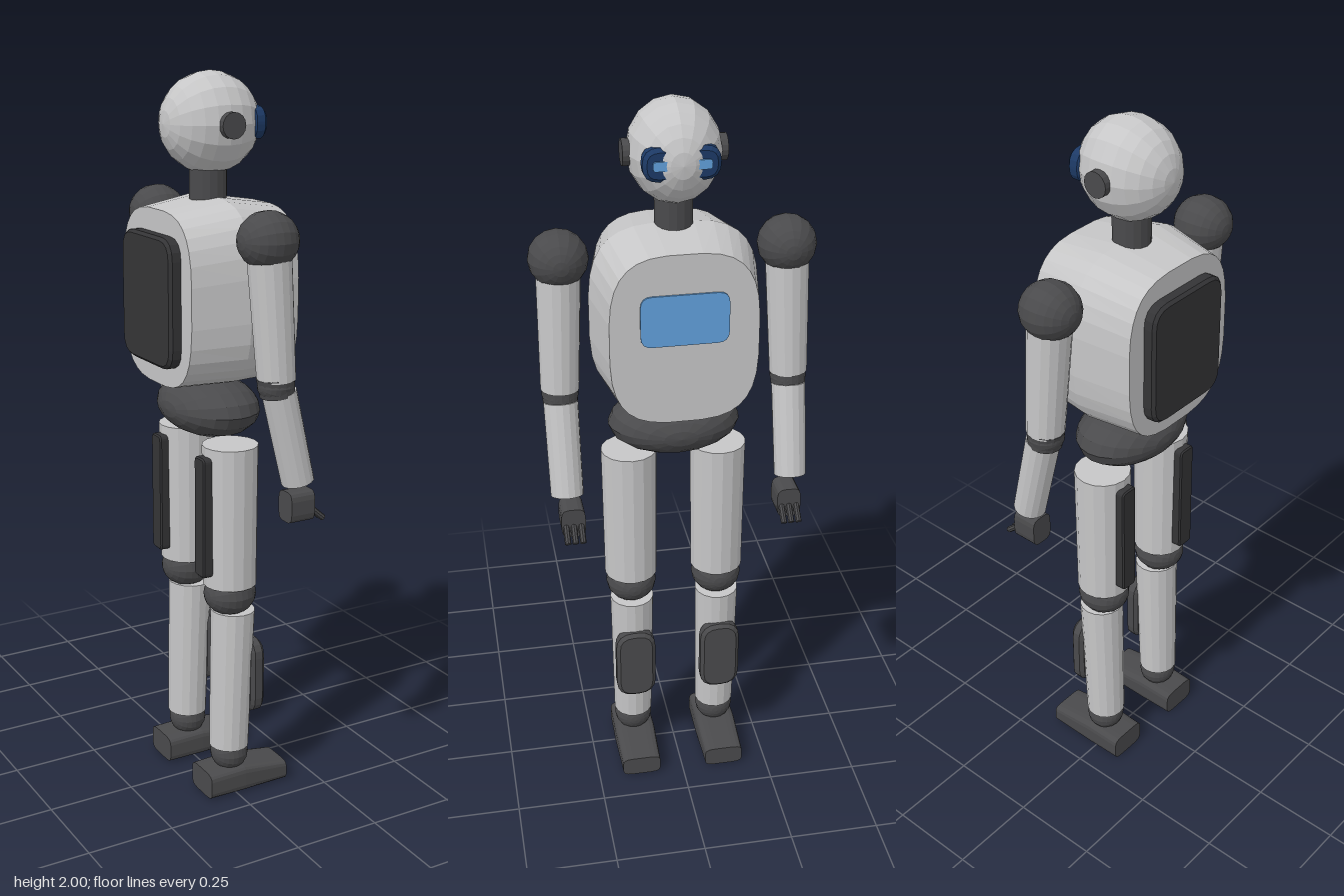
import * as THREE from 'three';

const mat = (name, color) => {
  const m = new THREE.MeshStandardMaterial({ color, flatShading: true });
  m.name = name;
  return m;
};

export function createModel() {
  const shell = mat('light grey shell', 0xc6c6c7);
  const joint = mat('dark grey joint', 0x4a4a4c);
  const pack = mat('charcoal', 0x343436);
  const navy = mat('navy visor', 0x1d3a66);
  const blue = mat('screen blue', 0x62a0dc);

  const model = new THREE.Group();
  model.name = 'robot';
  const add = (parent, name, geometry, material, x = 0, y = 0, z = 0) => {
    const mesh = new THREE.Mesh(geometry, material);
    mesh.name = name;
    mesh.position.set(x, y, z);
    parent.add(mesh);
    return mesh;
  };

  // Ellipsoid whose poles lie on the x axis
  const ball = (rx, ry, rz, w = 16, h = 12) =>
    new THREE.SphereGeometry(1, w, h).rotateZ(-Math.PI / 2).scale(rx, ry, rz);

  // Tapered cylinder between two points
  const rod = (parent, name, material, from, to, r0, r1, sides = 16) => {
    const a = new THREE.Vector3(...from), b = new THREE.Vector3(...to);
    const dir = b.clone().sub(a);
    const mesh = add(parent, name, new THREE.CylinderGeometry(r1, r0, dir.length(), sides), material);
    mesh.position.copy(a).add(b).multiplyScalar(0.5);
    mesh.quaternion.setFromUnitVectors(new THREE.Vector3(0, 1, 0), dir.normalize());
    return mesh;
  };

  // Rounded plate standing in the zy plane, from x0 to x1
  const plate = (x0, x1, halfZ, halfY, radius, bevel = 0) => {
    const w = halfZ - bevel, h = halfY - bevel, r = radius;
    const s = new THREE.Shape();
    s.moveTo(-w + r, -h);
    s.lineTo(w - r, -h);
    s.quadraticCurveTo(w, -h, w, -h + r);
    s.lineTo(w, h - r);
    s.quadraticCurveTo(w, h, w - r, h);
    s.lineTo(-w + r, h);
    s.quadraticCurveTo(-w, h, -w, h - r);
    s.lineTo(-w, -h + r);
    s.quadraticCurveTo(-w, -h, -w + r, -h);
    return new THREE.ExtrudeGeometry(s, {
      depth: x1 - x0 - 2 * bevel, curveSegments: 4, bevelEnabled: bevel > 0,
      bevelThickness: bevel, bevelSize: bevel, bevelSegments: 1,
    }).translate(0, 0, x0 + bevel).rotateY(Math.PI / 2);
  };

  // Loft of superellipse sections [x, bottomY, topY, halfZ] along x, with end caps
  const loft = (sections, power, n) => {
    const pos = [], idx = [];
    const soft = (v) => Math.sign(v) * Math.abs(v) ** (2 / power);
    for (const [x, y0, y1, hz] of sections) {
      for (let j = 0; j < n; j++) {
        const t = ((j + 0.5) / n) * Math.PI * 2;
        pos.push(x, (y0 + y1) / 2 + soft(Math.sin(t)) * (y1 - y0) / 2, -hz * soft(Math.cos(t)));
      }
    }
    const last = sections.length - 1;
    for (let i = 0; i < last; i++) {
      for (let j = 0; j < n; j++) {
        const k = (j + 1) % n, a = i * n + j, b = i * n + k;
        idx.push(a, b, b + n, a, b + n, a + n);
      }
    }
    for (let j = 1; j < n - 1; j++) {
      idx.push(0, j + 1, j, last * n, last * n + j, last * n + j + 1);
    }
    const g = new THREE.BufferGeometry();
    g.setAttribute('position', new THREE.Float32BufferAttribute(pos, 3));
    g.setIndex(idx);
    g.computeVertexNormals();
    return g;
  };

  // Head, neck and face
  add(model, 'head', ball(0.136, 0.132, 0.12), shell, 0.007, 1.868, 0);
  rod(model, 'neck', joint, [0.003, 1.64, 0], [0.003, 1.78, 0], 0.05, 0.05);
  add(model, 'visor', plate(0.085, 0.129, 0.097, 0.043, 0.03, 0.01), navy, 0, 1.868, 0);

  // Torso
  add(model, 'torso', loft([
    [-0.152, 1.19, 1.655, 0.193], [0.006, 1.188, 1.68, 0.224], [0.167, 1.19, 1.655, 0.193],
  ], 3.2, 32), shell);
  add(model, 'chestScreen', plate(0.164, 0.172, 0.114, 0.069, 0.03), blue, 0, 1.48, 0);
  add(model, 'backpack', plate(-0.185, -0.14, 0.137, 0.172, 0.05, 0.008), pack, 0, 1.422, 0);
  add(model, 'pelvis', ball(0.127, 0.083, 0.18), joint, 0.003, 1.113, 0);

  for (const s of [1, -1]) {
    const side = s > 0 ? 'near' : 'far';

    // Ear and eye
    rod(model, side + 'Ear', joint, [0.006, 1.868, s * 0.1], [0.006, 1.868, s * 0.132], 0.034, 0.034);
    add(model, side + 'Eye', plate(0.126, 0.134, 0.02, 0.012, 0.008), blue, 0, 1.868, s * 0.053);

    // Arm
    const arm = new THREE.Group();
    arm.name = side + 'Arm';
    model.add(arm);
    add(arm, 'shoulder', ball(0.08, 0.075, 0.078), joint, 0.007, 1.602, s * 0.297);
    rod(arm, 'upperArm', shell, [0.03, 1.245, s * 0.308], [0.01, 1.57, s * 0.298], 0.051, 0.058);
    add(arm, 'elbow', ball(0.049, 0.043, 0.049), joint, 0.029, 1.23, s * 0.308);
    rod(arm, 'elbowRing', joint, [0.034, 1.205, s * 0.308], [0.027, 1.255, s * 0.308], 0.046, 0.05);
    rod(arm, 'forearm', shell, [0.101, 0.962, s * 0.307], [0.039, 1.212, s * 0.308], 0.044, 0.046);
    add(arm, 'palm', loft([[0.07, 0.85, 0.935, 0.033], [0.142, 0.85, 0.935, 0.033]], 4, 16),
      joint, 0, 0, s * 0.297);
    for (const f of [-1, 0, 1]) {
      const z = s * 0.297 + f * 0.0205;
      rod(arm, 'finger', joint, [0.122, 0.897, z], [0.176, 0.85, z], 0.0085, 0.0085, 8);
    }

    // Leg
    const leg = new THREE.Group();
    leg.name = side + 'Leg';
    leg.position.z = s * 0.124;
    model.add(leg);
    rod(leg, 'thigh', shell, [0.003, 0.63, 0], [0.002, 1.03, 0], 0.074, 0.077);
    add(leg, 'thighPanel', plate(-0.094, -0.06, 0.027, 0.17, 0.01, 0.004), pack, 0, 0.835, 0);
    add(leg, 'knee', ball(0.073, 0.062, 0.071), joint, 0.003, 0.6, 0);
    rod(leg, 'shin', shell, [0.002, 0.135, 0], [0.013, 0.55, 0], 0.056, 0.062);
    add(leg, 'shinGuard', plate(0.045, 0.088, 0.057, 0.111, 0.04, 0.01), joint, 0, 0.344, 0);
    add(leg, 'ankle', ball(0.053, 0.053, 0.055), joint, 0.003, 0.112, 0);
    add(leg, 'foot', loft([
      [-0.085, 0, 0.076, 0.058], [0.025, 0, 0.08, 0.06], [0.164, 0, 0.058, 0.056],
    ], 5, 20), joint);
  }
  return model;
}
